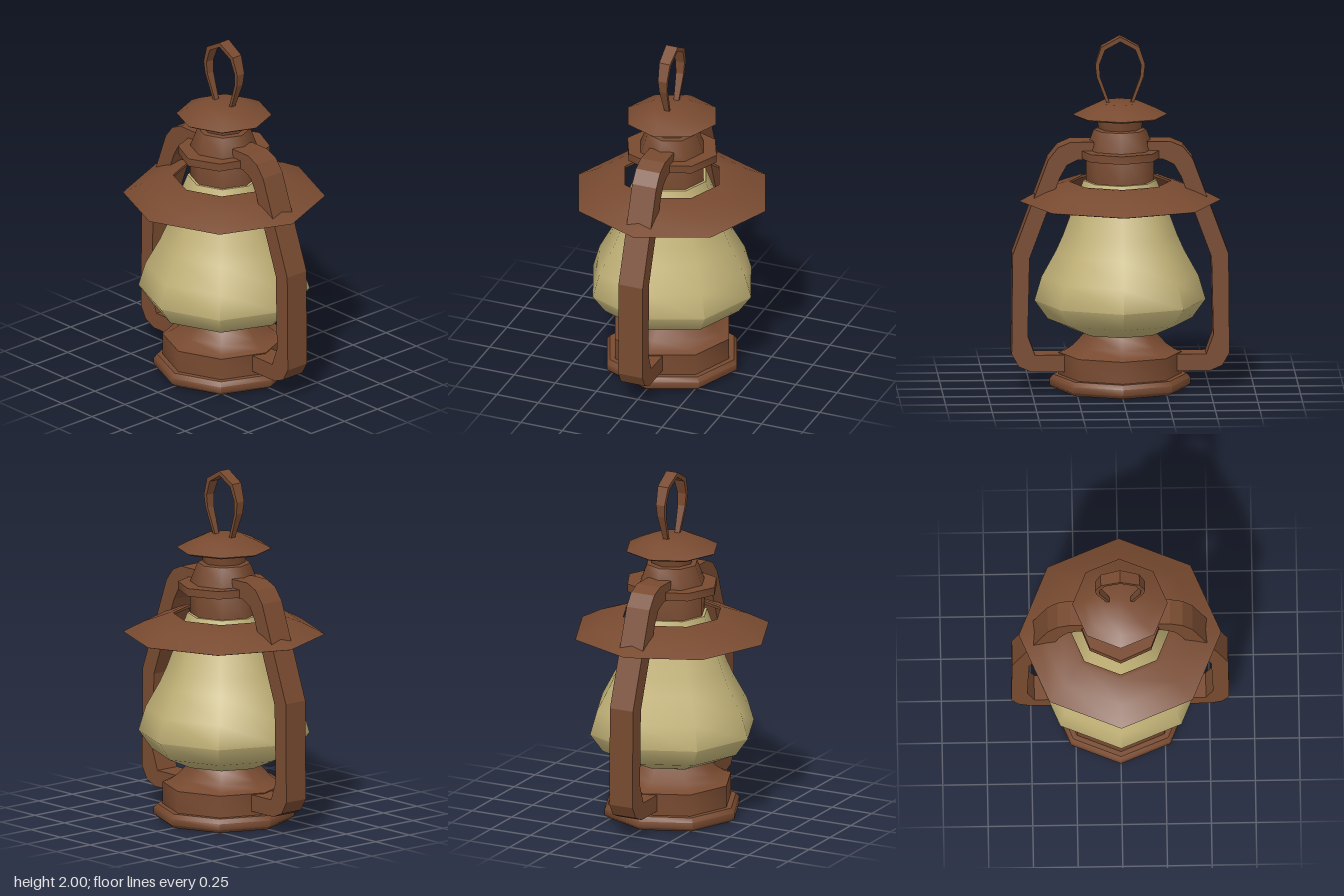
import * as THREE from 'three';
import { toCreasedNormals } from 'three/addons/utils/BufferGeometryUtils.js';

const SIDES = 8;

function named(name, geometry, material) {
  const mesh = new THREE.Mesh(geometry, material);
  mesh.name = name;
  return mesh;
}

// Eight-sided turned part; the profile [radius, y] runs from bottom to top
function turned(name, profile, material, crease = 0.9) {
  const points = profile.map(([r, y]) => new THREE.Vector2(r, y));
  return named(name, toCreasedNormals(new THREE.LatheGeometry(points, SIDES), crease), material);
}

// Flat outline in x/y, extruded evenly about z = 0
function plate(outline, depth) {
  const shape = new THREE.Shape(outline.map(([x, y]) => new THREE.Vector2(x, y)));
  const geometry = new THREE.ExtrudeGeometry(shape, { depth, bevelEnabled: false });
  return geometry.translate(0, 0, -depth / 2);
}

export function createModel() {
  const lantern = new THREE.Group();
  lantern.name = 'lantern';

  const metal = new THREE.MeshStandardMaterial({ color: 0x784a30 });
  metal.name = 'brown metal';
  const glass = new THREE.MeshStandardMaterial({ color: 0xc2b277 });
  glass.name = 'yellow glass';

  // Foot, fuel tank and burner
  lantern.add(turned('foot', [
    [0, 0], [0.37, 0], [0.395, 0.02], [0.395, 0.055], [0.375, 0.08], [0, 0.085],
  ], metal));
  lantern.add(turned('tank', [
    [0, 0.07], [0.345, 0.07], [0.345, 0.205], [0.31, 0.215],
    [0.26, 0.25], [0.205, 0.31], [0.19, 0.34], [0, 0.34],
  ], metal, 0.85));

  // Glass globe
  lantern.add(turned('globe', [
    [0, 0.325], [0.245, 0.325], [0.405, 0.395], [0.48, 0.5], [0.44, 0.635],
    [0.36, 0.78], [0.32, 0.87], [0.25, 1.06], [0.205, 1.18], [0, 1.18],
  ], glass, 1.0));

  // Thin brim with an open centre
  lantern.add(turned('brim', [
    [0.285, 1.16], [0.31, 1.16], [0.45, 1.11], [0.55, 1.06], [0.567, 1.065],
    [0.45, 1.125], [0.31, 1.175], [0.285, 1.175], [0.285, 1.16],
  ], metal));

  // Chimney with its collar, neck and cap
  lantern.add(turned('chimney', [
    [0, 1.17], [0.19, 1.17], [0.19, 1.36], [0.148, 1.47], [0.12, 1.475],
    [0.125, 1.5], [0.13, 1.56], [0, 1.56],
  ], metal));
  const collar = turned('collar', [
    [0, 1.315], [0.27, 1.315], [0.27, 1.36], [0, 1.36],
  ], metal);
  collar.scale.x = 0.9;
  lantern.add(collar);
  lantern.add(turned('cap', [
    [0, 1.545], [0.25, 1.545], [0.267, 1.555], [0.2, 1.59], [0.12, 1.625], [0, 1.625],
  ], metal));

  // Side frames, mirrored by reversing the x of the outline
  const frameOutline = [
    [0.15, 1.41], [0.28, 1.41], [0.35, 1.38], [0.405, 1.31], [0.605, 0.77], [0.61, 0.205],
    [0.57, 0.135], [0.5, 0.105], [0.3, 0.105], [0.3, 0.2], [0.48, 0.2],
    [0.52, 0.31], [0.51, 0.75], [0.34, 1.21], [0.3, 1.28], [0.24, 1.31], [0.15, 1.31],
  ];
  for (const side of [1, -1]) {
    const outline = frameOutline.map(([x, y]) => [side * x, y]);
    lantern.add(named(side > 0 ? 'leftFrame' : 'rightFrame', plate(outline, 0.146), metal));
  }

  // Hanging loop: a bent strip that widens towards the top
  const outer = [[0.072, 1.61], [0.132, 1.77], [0.14, 1.84], [0.108, 1.94], [0, 2]];
  const inner = [[0.054, 1.61], [0.112, 1.77], [0.117, 1.84], [0.085, 1.925], [0, 1.972]];
  const mirror = (half) => half.slice(0, -1).reverse().map(([x, y]) => [-x, y]);
  const loopOutline = [
    ...outer, ...mirror(outer),
    ...[...inner, ...mirror(inner)].reverse(),
  ];
  const loop = plate(loopOutline, 2);
  const position = loop.attributes.position;
  for (let i = 0; i < position.count; i++) {
    const rise = (position.getY(i) - 1.61) / 0.39;
    position.setZ(i, position.getZ(i) * (0.014 + 0.022 * rise));
  }
  loop.computeVertexNormals();
  lantern.add(named('hangingLoop', loop, metal));

  return lantern;
}
